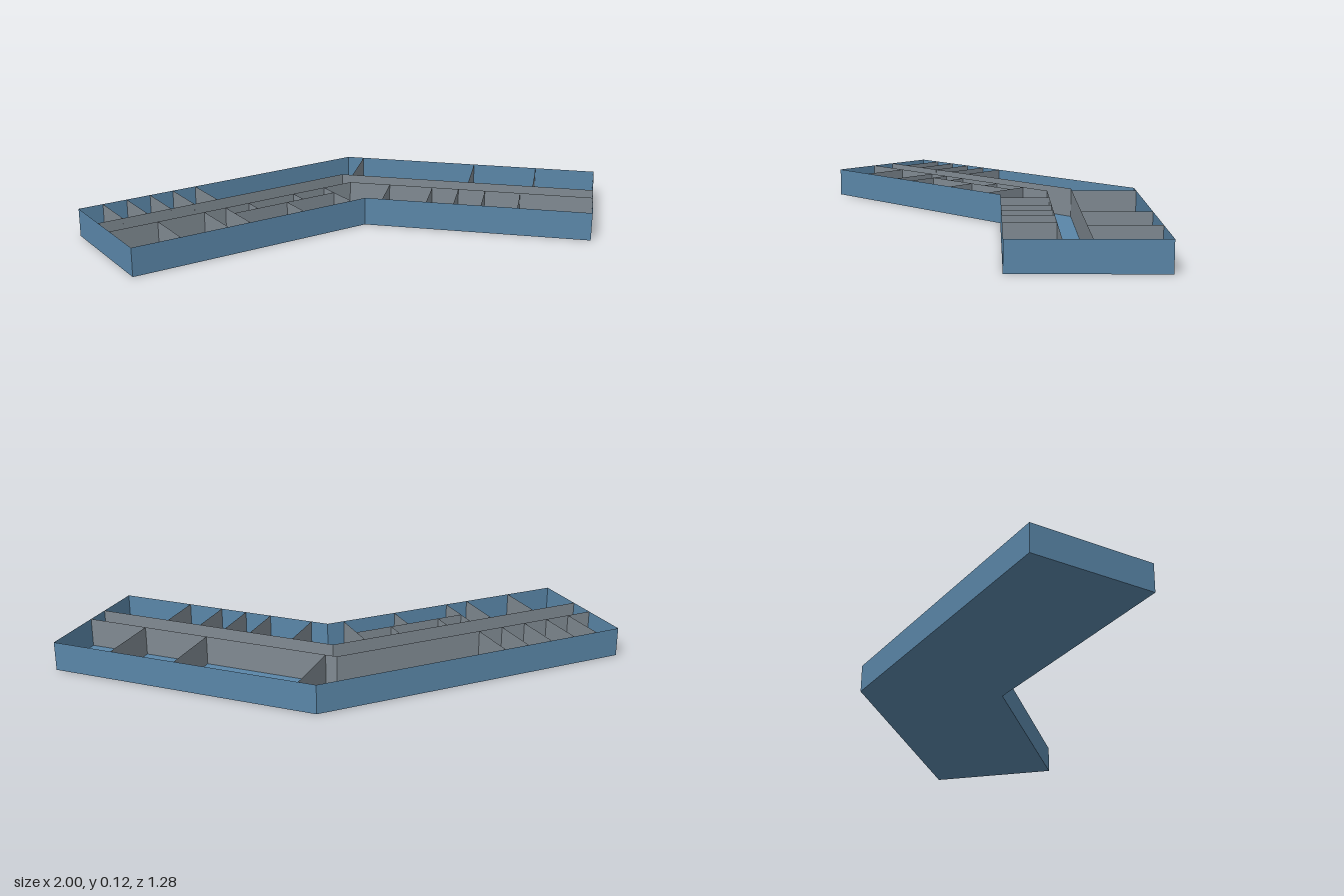
import * as THREE from 'three';

const HEIGHT = 0.115;

export function createModel() {
  const model = new THREE.Group();
  const blue = new THREE.MeshStandardMaterial({ color: 0x5a86a8, side: THREE.DoubleSide });
  const grey = new THREE.MeshStandardMaterial({ color: 0x808a92, side: THREE.DoubleSide });

  // Upright sheet between two plan points [x, z]
  function wall(name, a, b, material) {
    const dx = b[0] - a[0], dz = b[1] - a[1];
    const mesh = new THREE.Mesh(new THREE.PlaneGeometry(Math.hypot(dx, dz), HEIGHT), material);
    mesh.position.set((a[0] + b[0]) / 2, HEIGHT / 2, (a[1] + b[1]) / 2);
    mesh.rotation.y = Math.atan2(-dz, dx);
    mesh.name = name;
    model.add(mesh);
  }

  // Plan point in the slanted wing: u along its inner side, v across it
  const slant = (u, v) => [-0.64 + (u - v) * Math.SQRT1_2, 0.635 - (u + v) * Math.SQRT1_2];
  const partition = (a, b) => wall('partition', a, b, grey);

  // Floor and outer walls
  const outline = [[-0.09, -0.64], [1, -0.64], [1, -0.09], [0.09, -0.09], [-0.64, 0.635], [-1, 0.275]];
  const shape = new THREE.Shape(outline.map(([x, z]) => new THREE.Vector2(x, -z)));
  const floor = new THREE.Mesh(new THREE.ShapeGeometry(shape).rotateX(-Math.PI / 2), blue);
  floor.name = 'floor';
  model.add(floor);
  outline.forEach((p, i) => wall('outerWall', p, outline[(i + 1) % outline.length], blue));

  // Corridor walls, bending with the building
  const back = -0.38, front = -0.28, far = 0.31, near = 0.2;
  const corridor = [
    [slant(0, far), [-0.065, back], [1, back]],
    [slant(0, near), [-0.01, front], [1, front]],
  ];
  for (const [a, b, c] of corridor) {
    wall('corridorWall', a, b, grey);
    wall('corridorWall', b, c, grey);
  }

  // Straight wing: large rooms at the back, small ones at the front
  for (const x of [-0.02, 0.48, 0.75]) partition([x, -0.64], [x, back]);
  for (const x of [0.16, 0.34, 0.45, 0.56, 0.705]) partition([x, front], [x, -0.09]);

  // Slanted wing: equal small rooms on the outer side, mixed rooms on the inner side
  for (let i = 1; i <= 5; i++) partition(slant(i * 0.103, far), slant(i * 0.103, 0.509));
  for (const u of [0.2, 0.4, 0.495, 0.96]) partition(slant(u, 0), slant(u, near));

  // Washrooms with anterooms towards the corridor
  partition(slant(0.735, 0), slant(0.735, 0.125));
  partition(slant(0.495, 0.125), slant(0.96, 0.125));
  for (const u of [0.6, 0.81]) partition(slant(u, 0.125), slant(u, near));

  return model;
}
